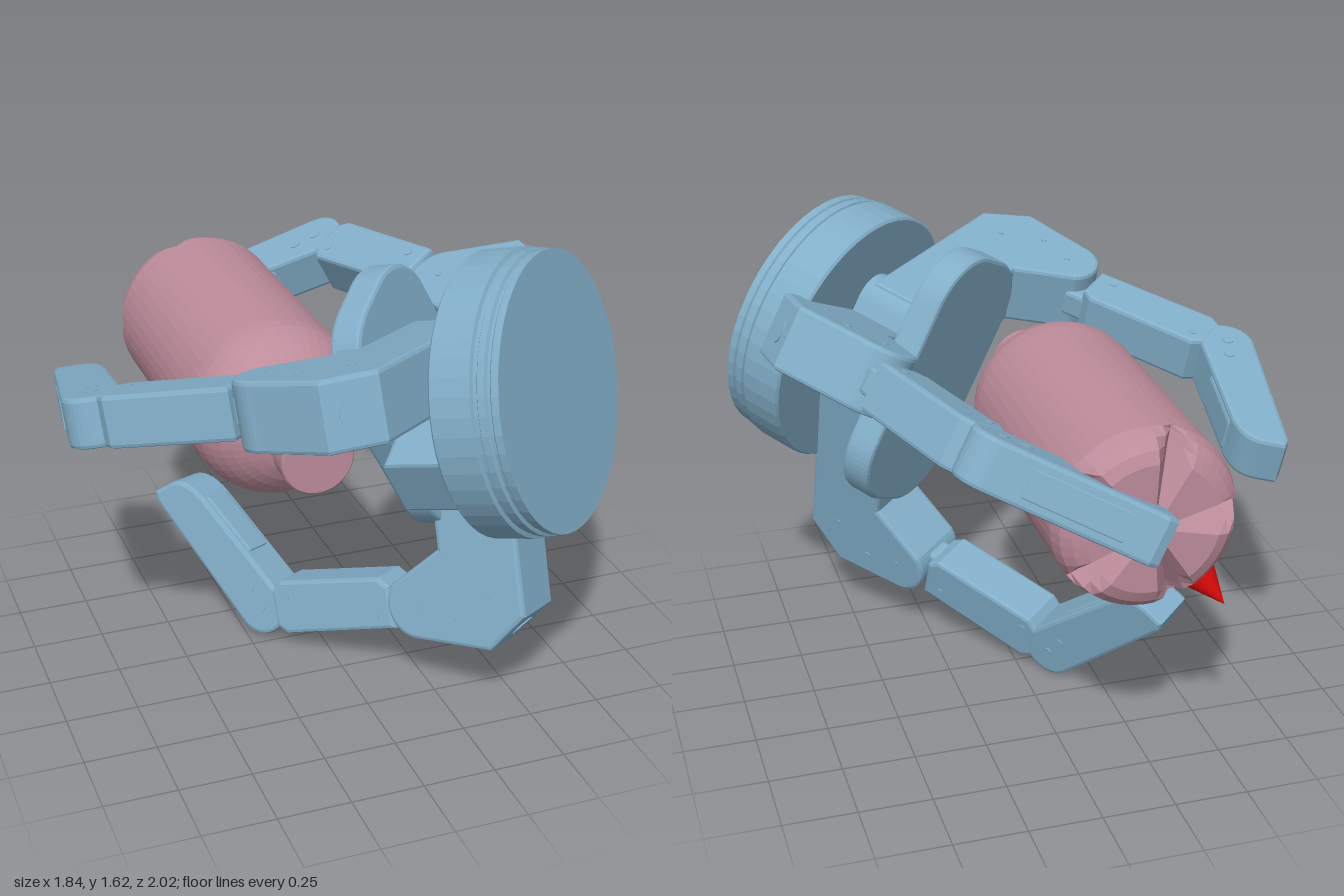
import * as THREE from 'three';

const V = (x, y, z) => new THREE.Vector3(x, y, z);
const mat = (color) => new THREE.MeshStandardMaterial({ color, flatShading: true });
const blue = mat(0x82aec8), pink = mat(0xbd8c9b), red = mat(0xd00808);

// Palm frame: hand axis, thumb direction and the sideways direction
const axis = V(0.64, 0.25, 0.73).normalize();
const grip = axis.clone().negate();
const hub = V(0.575, 1.175, 0.692);
const radial = (r) => r.addScaledVector(axis, -r.dot(axis)).normalize();
const thumbDir = radial(V(0.61, 0.42, -0.68));

function mesh(name, geo, material, parent) {
  const m = new THREE.Mesh(geo, material);
  m.name = name;
  parent.add(m);
  return m;
}

function frame(name, origin, x, y, parent) {
  const g = new THREE.Group();
  g.name = name;
  const z = x.clone().cross(y);
  g.quaternion.setFromRotationMatrix(new THREE.Matrix4().makeBasis(x, y, z));
  g.position.copy(origin);
  parent.add(g);
  return g;
}

// Bevelled slab, centred on its thickness
function slab(shape, width, bevel = 0.014) {
  const geo = new THREE.ExtrudeGeometry(shape, {
    depth: width - 2 * bevel, bevelEnabled: true, bevelThickness: bevel,
    bevelSize: bevel, bevelOffset: -bevel, bevelSegments: 2, curveSegments: 8,
  });
  return geo.translate(0, 0, -(width - 2 * bevel) / 2);
}

function polygon(points) {
  return new THREE.Shape(points.map(([x, y]) => new THREE.Vector2(x, y)));
}

function roundedRect(w, h, r) {
  const s = new THREE.Shape();
  s.absarc(w / 2 - r, h / 2 - r, r, 0, Math.PI / 2);
  s.absarc(-w / 2 + r, h / 2 - r, r, Math.PI / 2, Math.PI);
  s.absarc(-w / 2 + r, -h / 2 + r, r, Math.PI, Math.PI * 1.5);
  s.absarc(w / 2 - r, -h / 2 + r, r, Math.PI * 1.5, Math.PI * 2);
  return s;
}

// Small screw heads on both sides of a link
function screws(parent, spots, width, r = 0.018) {
  for (const [x, y] of spots) {
    const geo = new THREE.CylinderGeometry(r, r, width + 0.006, 12).rotateX(Math.PI / 2);
    mesh('screw', geo, blue, parent).position.set(x, y, 0);
  }
}

// One finger: L-shaped knuckle, middle link and curved fingertip
function finger(name, joint, dir, bend1, bend2, legLength, [du, dv], parent) {
  const f = frame(name, joint, radial(dir), grip, parent);

  const k = new THREE.Group();
  k.name = 'knuckleBlock';
  k.position.set(du, dv, 0);
  f.add(k);
  const l = new THREE.Shape();
  l.moveTo(-legLength, -0.47);
  l.lineTo(0.03, -0.47);
  l.lineTo(0.15, -0.33);
  l.lineTo(0.12, -0.07);
  l.absarc(0, -0.07, 0.12, 0, Math.PI * 0.72);
  l.lineTo(-0.2, -0.17);
  l.lineTo(-legLength, -0.17);
  mesh('knuckle', slab(l, 0.23), blue, k);
  const port = mesh('knucklePort', new THREE.CylinderGeometry(0.045, 0.045, 0.01, 20), blue, k);
  port.quaternion.setFromUnitVectors(V(0, 1, 0), V(0.14, -0.12, 0).normalize());
  port.position.set(0.09, -0.4, 0);
  screws(k, [[0, -0.07], [-0.04, -0.34], [0.04, -0.2]], 0.23, 0.012);

  const mid = new THREE.Group();
  mid.name = 'middleLink';
  mid.rotation.z = THREE.MathUtils.degToRad(bend1);
  f.add(mid);
  mesh('middleBody', slab(polygon([[0.05, -0.09], [0.5, -0.1], [0.54, -0.07],
    [0.54, 0.06], [0.5, 0.095], [0.09, 0.095], [0.05, 0.06]]), 0.175), blue, mid);
  const tongue = roundedRect(0.72, 0.13, 0.06);
  mesh('hingeTongue', slab(tongue, 0.1).translate(0.3, 0, 0), blue, mid);
  screws(mid, [[0.12, -0.04], [0.48, 0.04]], 0.175, 0.014);

  const tip = new THREE.Group();
  tip.name = 'fingertip';
  tip.position.x = 0.6;
  tip.rotation.z = THREE.MathUtils.degToRad(bend2 - bend1);
  mid.add(tip);
  const s = new THREE.Shape();
  s.moveTo(0, -0.1);
  s.lineTo(0.56, -0.07);
  s.lineTo(0.59, -0.05);
  s.lineTo(0.57, 0.02);
  s.quadraticCurveTo(0.55, 0.095, 0.43, 0.1);
  s.lineTo(0.12, 0.1);
  s.lineTo(0, 0.1);
  s.absarc(0, 0, 0.1, Math.PI / 2, Math.PI * 1.5);
  mesh('tipBody', slab(s, 0.17), blue, tip);
  // Raised grip pad and back cover
  mesh('tipPad', slab(polygon([[0.16, 0.06], [0.48, 0.05], [0.43, 0.106], [0.18, 0.106]]), 0.13),
    blue, tip);
  mesh('tipCover', slab(polygon([[0.12, -0.098], [0.46, -0.08], [0.46, -0.05], [0.12, -0.05]]), 0.1, 0.005),
    blue, tip);
  screws(tip, [[0, 0], [0.08, 0.015]], 0.17, 0.02);
}

function hand(parent) {
  // Round base: wide drum, two grooves and a slightly smaller face
  const base = frame('handBase', hub, thumbDir, axis, parent);
  const profile = [[0, -0.235], [0.462, -0.235], [0.47, -0.227], [0.47, -0.09], [0.456, -0.085],
    [0.456, -0.072], [0.462, -0.068], [0.462, -0.045], [0.45, -0.04], [0.45, -0.03],
    [0.456, -0.025], [0.456, 0], [0, 0]].map(([x, y]) => new THREE.Vector2(x, y));
  mesh('baseDrum', new THREE.LatheGeometry(profile, 48), blue, base);

  // Palm plate and the column that carries it
  const side = axis.clone().cross(thumbDir);
  const palm = frame('palm', hub, thumbDir, side, parent);
  mesh('palmPlate', slab(roundedRect(0.54, 0.94, 0.21), 0.11), blue, palm).position.z = -0.54;
  mesh('palmColumn', slab(roundedRect(0.3, 0.5, 0.1), 0.32), blue, palm).position.z = -0.37;

  // The thumb's leg runs right across the palm
  finger('leftFinger', V(-0.38, 1.195, 0.51), V(-0.77, 0.11, 0.64), 84, 136, 0.65, [0.03, -0.01], parent);
  finger('lowerFinger', V(0.235, 0.29, 0.345), V(0.016, -0.953, 0.31), 87, 142, 0.68, [0, 0], parent);
  finger('thumb', V(0.5, 1.23, -0.17), V(0.61, 0.42, -0.68), 67, 115, 0.88, [-0.07, -0.02], parent);
}

function bottle(parent) {
  const g = new THREE.Group();
  g.name = 'bottle';
  g.position.set(-0.18, 0.97, 0);
  parent.add(g);
  const pts = [[0, -0.9], [0.22, -0.9], [0.26, -0.882], [0.29, -0.85],
    [0.305, -0.8], [0.305, -0.77], [0.305, 0.05]];
  for (let i = 1; i <= 8; i++) {
    const t = (i / 8) * 1.27;
    pts.push([0.305 * Math.cos(t), 0.05 + 0.283 * Math.sin(t)]);
  }
  pts.push([0.09, 0.36], [0.112, 0.36], [0.112, 0.375], [0.092, 0.375], [0.092, 0.395],
    [0.105, 0.395], [0.105, 0.41], [0.123, 0.41], [0.123, 0.495], [0.118, 0.5], [0, 0.5]);
  const start = THREE.MathUtils.degToRad(197);
  const geo = new THREE.LatheGeometry(pts.map(([x, y]) => new THREE.Vector2(x, y)), 50, start);
  geo.rotateX(Math.PI / 2);

  // Five V-shaped grooves that deepen from the middle of the bottom to its rim
  const p = geo.attributes.position, step = Math.PI * 2 / 5;
  const first = THREE.MathUtils.degToRad(107);
  for (let i = 0; i < p.count; i++) {
    const x = p.getX(i), y = p.getY(i), z = p.getZ(i);
    if (z > -0.75) continue;
    let d = Math.atan2(y, x) - first;
    d -= Math.round(d / step) * step;
    const depth = 0.12 * Math.max(0, 1 - Math.abs(d) / 0.251) * Math.min(1, Math.hypot(x, y) / 0.28);
    p.setZ(i, Math.max(z, -0.9 + depth));
  }
  geo.computeVertexNormals();
  mesh('bottleBody', geo, pink, g);
}

// Arrow running from the bottle's middle outward
function arrow(parent) {
  const tip = V(-0.465, 0.61, -0.81);
  const dir = V(-0.41, -0.53, -0.75).normalize();
  const g = new THREE.Group();
  g.name = 'arrow';
  g.position.copy(tip);
  g.quaternion.setFromUnitVectors(V(0, 1, 0), dir);
  parent.add(g);
  mesh('arrowHead', new THREE.ConeGeometry(0.06, 0.13, 20), red, g).position.y = -0.065;
  mesh('arrowShaft', new THREE.CylinderGeometry(0.027, 0.027, 0.5, 16), red, g).position.y = -0.38;
}

export function createModel() {
  const model = new THREE.Group();
  model.name = 'gripperWithBottle';
  hand(model);
  bottle(model);
  arrow(model);
  return model;
}
